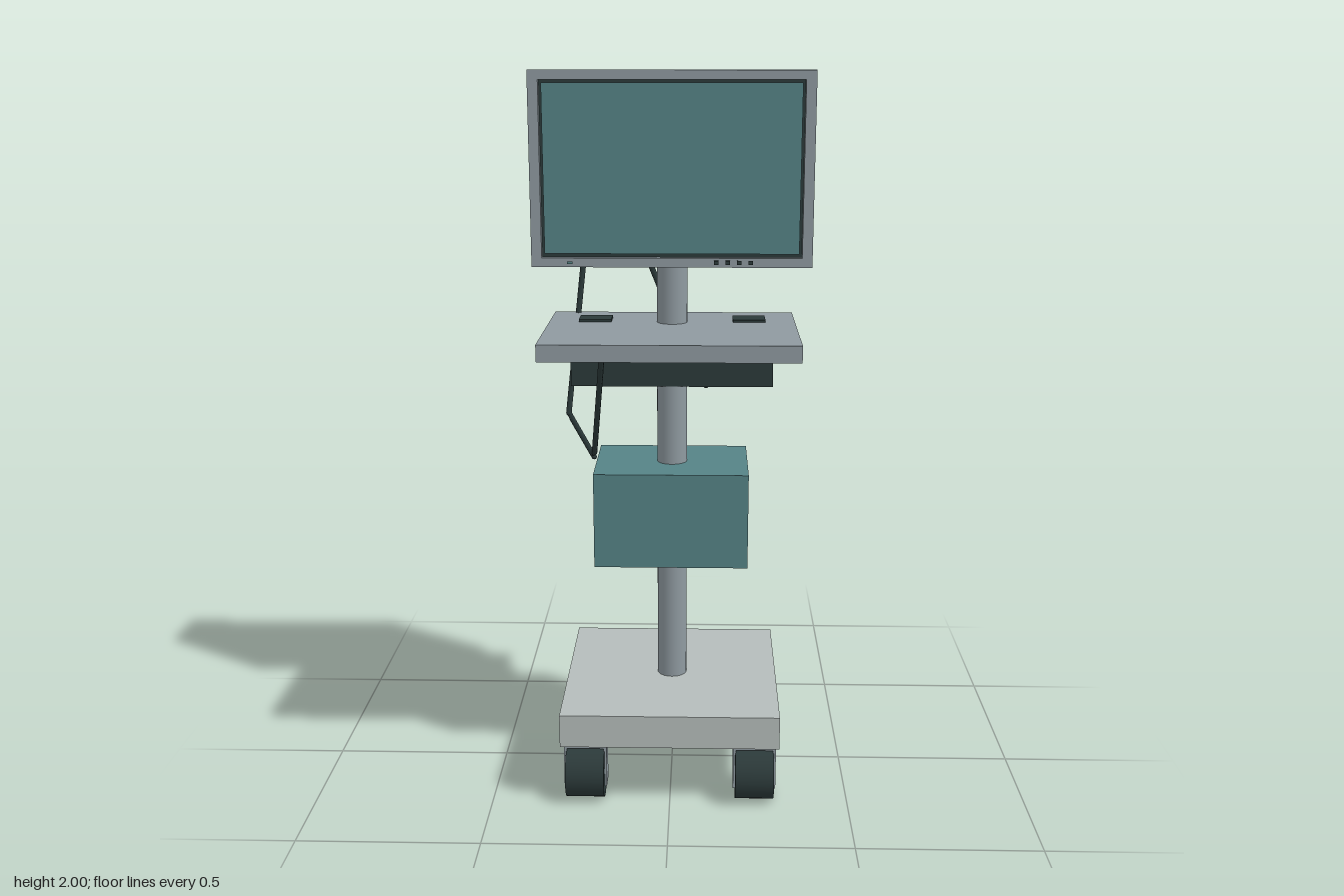
import * as THREE from 'three';

const mat = (name, color) => {
  const m = new THREE.MeshStandardMaterial({ color });
  m.name = name;
  return m;
};

export function createModel() {
  const model = new THREE.Group();
  model.name = 'monitorCart';
  const grey = mat('steelGrey', 0x8f9aa0);
  const light = mat('paleGrey', 0xb5bdbb);
  const dark = mat('darkSlate', 0x2c3a3a);
  const teal = mat('teal', 0x568386);

  const add = (name, geo, material, parent = model) => {
    const m = new THREE.Mesh(geo, material);
    m.name = name;
    parent.add(m);
    return m;
  };
  // Box given by its extents on each axis
  const box = (name, material, [x0, x1], [y0, y1], [z0, z1], parent) => {
    const m = add(name, new THREE.BoxGeometry(x1 - x0, y1 - y0, z1 - z0), material, parent);
    m.position.set((x0 + x1) / 2, (y0 + y1) / 2, (z0 + z1) / 2);
    return m;
  };
  const group = (name) => {
    const g = new THREE.Group();
    g.name = name;
    model.add(g);
    return g;
  };

  // Base, pole, shelf and the two equipment boxes
  box('base', light, [-0.305, 0.305], [0.18, 0.275], [-0.32, 0.295]);
  add('pole', new THREE.CylinderGeometry(0.042, 0.042, 1.24, 32), grey).position.set(0, 0.88, -0.008);
  box('equipmentBox', teal, [-0.214, 0.214], [0.655, 0.925], [-0.165, 0.14]);
  box('powerUnit', dark, [-0.28, 0.28], [1.15, 1.27], [-0.108, 0.035]);
  box('shelf', grey, [-0.34, 0.34], [1.28, 1.325], [-0.16, 0.327]);
  for (const s of [-1, 1]) {
    box('shelfPad', dark, [s * 0.213 - 0.045, s * 0.213 + 0.045], [1.325, 1.332], [-0.07, 0.002]);
  }

  // Casters: wheel, fork cheeks, bridge and stem
  for (const x of [-0.238, 0.238]) {
    for (const z of [0.228, -0.25]) {
      const c = group('caster');
      c.position.set(x, 0, z);
      const wheel = add('wheel', new THREE.CylinderGeometry(0.076, 0.076, 0.108, 28), dark, c);
      wheel.rotation.z = Math.PI / 2;
      wheel.position.y = 0.077;
      for (const s of [-1, 1]) {
        box('forkCheek', grey, [s * 0.056 - 0.004, s * 0.056 + 0.004], [0.038, 0.165], [-0.028, 0.028], c);
      }
      box('forkBridge', grey, [-0.056, 0.056], [0.155, 0.167], [-0.028, 0.028], c);
      add('stem', new THREE.CylinderGeometry(0.027, 0.027, 0.02, 20), grey, c).position.y = 0.172;
    }
  }

  // Monitor: housing, open bezel and recessed screen
  const monitor = group('monitor');
  box('housing', dark, [-0.38, 0.38], [1.483, 2], [-0.135, 0], monitor);
  const frame = new THREE.Shape();
  frame.moveTo(-0.38, 1.483).lineTo(0.38, 1.483).lineTo(0.38, 2).lineTo(-0.38, 2).closePath();
  const opening = new THREE.Path();
  opening.moveTo(-0.352, 1.508).lineTo(-0.352, 1.975).lineTo(0.352, 1.975).lineTo(0.352, 1.508).closePath();
  frame.holes.push(opening);
  add('bezel', new THREE.ExtrudeGeometry(frame, { depth: 0.045, bevelEnabled: false }), grey, monitor);
  box('screenSurround', dark, [-0.352, 0.352], [1.508, 1.975], [0, 0.025], monitor);
  box('screen', teal, [-0.345, 0.345], [1.518, 1.968], [0.025, 0.032], monitor);
  for (let i = 0; i < 4; i++) {
    const x = 0.12 + i * 0.031;
    box('button', dark, [x - 0.006, x + 0.006], [1.491, 1.502], [0.045, 0.051], monitor);
  }
  box('statusLight', teal, [-0.283, -0.268], [1.493, 1.499], [0.045, 0.051], monitor);

  // Rear plate with vents, screws and ports
  const rear = group('rearPanel');
  box('rearPlate', light, [-0.283, 0.283], [1.6, 1.912], [-0.158, -0.135], rear);
  for (let i = 0; i < 12; i++) {
    const x = -0.2 + i * 0.4 / 11;
    box('vent', dark, [x - 0.01, x + 0.01], [1.822, 1.87], [-0.162, -0.157], rear);
  }
  for (const x of [-0.24, 0.24]) {
    for (const y of [1.635, 1.87]) {
      const screw = add('screw', new THREE.CylinderGeometry(0.009, 0.009, 0.01, 14), dark, rear);
      screw.rotation.x = Math.PI / 2;
      screw.position.set(x, y, -0.161);
    }
  }
  box('portPanel', dark, [-0.145, 0.145], [1.605, 1.655], [-0.168, -0.157], rear);
  for (const s of [-1, 1]) {
    box('port', grey, [s * 0.1 - 0.012, s * 0.1 + 0.012], [1.618, 1.642], [-0.181, -0.167], rear);
    box('connector', dark, [s * 0.066 - 0.014, s * 0.066 + 0.014], [1.615, 1.645], [-0.182, -0.167], rear);
  }

  // Bracket that carries the monitor
  box('mountBlock', grey, [-0.086, 0.086], [1.655, 1.832], [-0.197, -0.157]);
  box('mountArm', grey, [-0.036, 0.036], [1.39, 1.732], [-0.222, -0.122]);

  // Cables bend sharply, so each is a tube along straight runs
  const cable = (name, points) => {
    const path = new THREE.CurvePath();
    const v = points.map((p) => new THREE.Vector3(...p));
    for (let i = 1; i < v.length; i++) path.add(new THREE.LineCurve3(v[i - 1], v[i]));
    add(name, new THREE.TubeGeometry(path, 48, 0.008, 8, false), dark);
    for (const p of v) add(name + 'Joint', new THREE.SphereGeometry(0.008, 8, 6), dark).position.copy(p);
  };
  cable('powerCable', [[-0.24, 1.62, -0.163], [-0.305, 1.03, -0.135], [-0.235, 0.89, -0.16], [-0.185, 1.265, 0.138]]);
  cable('signalCable', [[-0.13, 1.62, -0.178], [-0.04, 1.39, -0.198], [0.095, 1.095, -0.219]]);

  return model;
}
